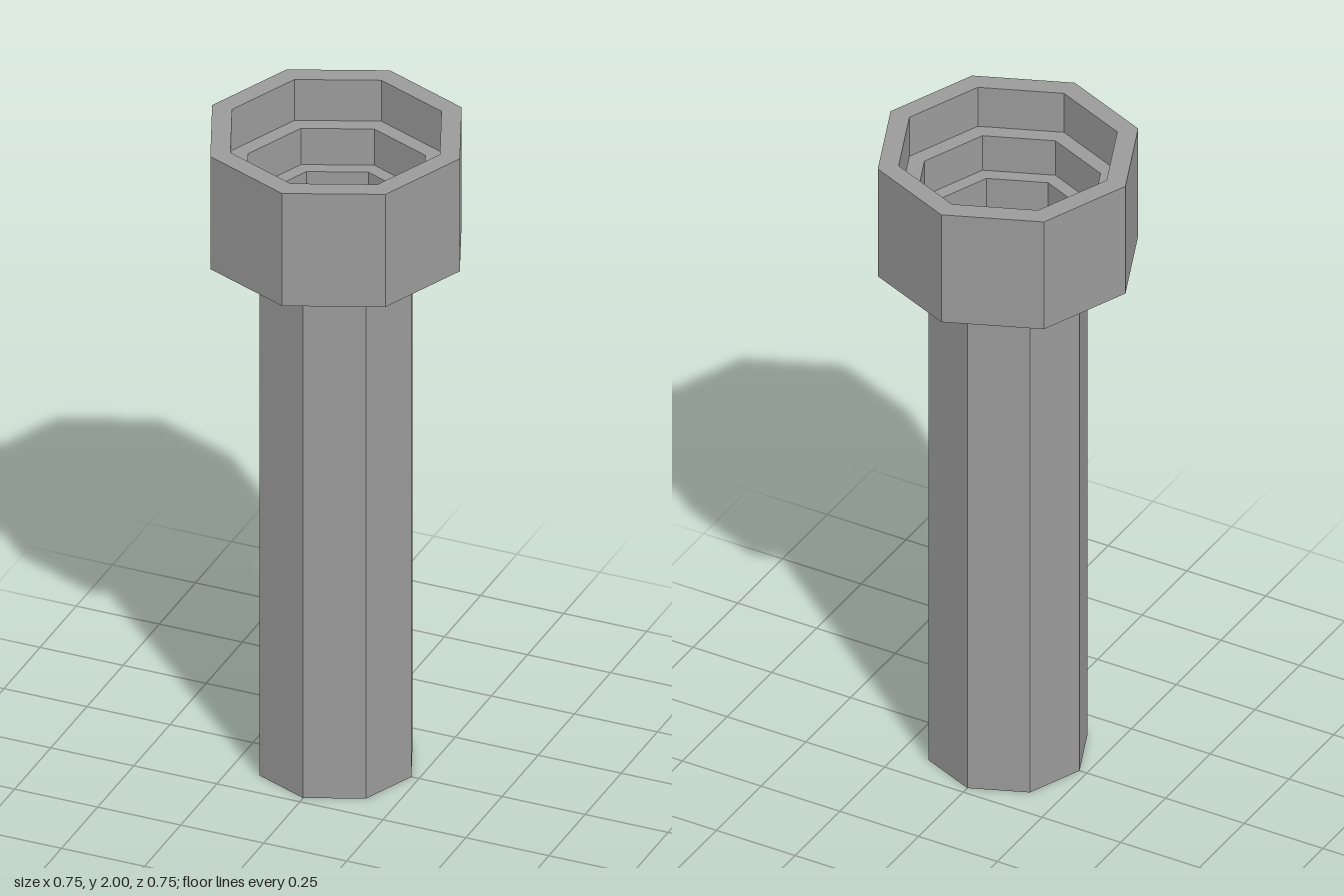
import * as THREE from 'three';

const SIDES = 8;

// Turn a [radius, height] profile into a flat-shaded octagonal part.
function turned(name, profile, material) {
  const points = profile.map(([r, y]) => new THREE.Vector2(r, y));
  const mesh = new THREE.Mesh(new THREE.LatheGeometry(points, SIDES), material);
  mesh.name = name;
  return mesh;
}

export function createModel() {
  const model = new THREE.Group();
  model.name = 'socketBolt';
  const material = new THREE.MeshStandardMaterial({ color: 0x9b9b9b, flatShading: true });

  // Shaft with a closed bottom; its top meets the underside of the head.
  model.add(turned('shaft', [[0, 0], [0.227, 0], [0.227, 1.642]], material));

  // Head: underside, outer wall, rim, then a socket stepping inwards to its floor.
  model.add(turned('head', [
    [0.227, 1.642], [0.373, 1.642], [0.373, 2],
    [0.313, 2], [0.313, 1.87],
    [0.265, 1.87], [0.265, 1.755],
    [0.223, 1.755], [0.223, 1.65],
    [0, 1.65],
  ], material));

  return model;
}
